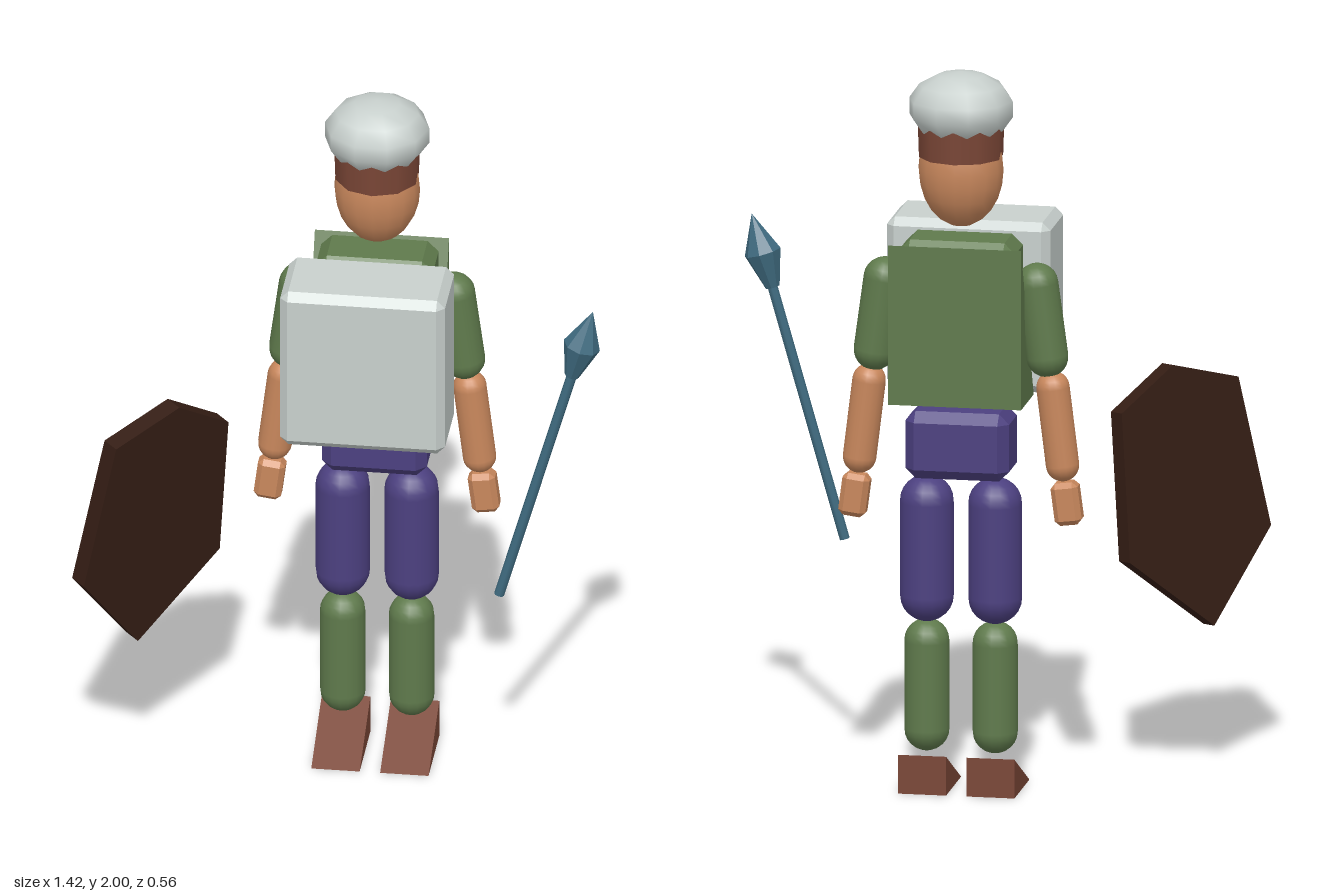
import * as THREE from 'three';
import { ConvexGeometry } from 'three/addons/geometries/ConvexGeometry.js';

const CX = 0.07, CZ = -0.15; // centre line of the figure

const mat = (color, extra = {}) => new THREE.MeshStandardMaterial({ color, ...extra });
const green = mat(0x5f7a4c), purple = mat(0x4c4080), skin = mat(0xc8875c), brown = mat(0x7a4636);
const pale = mat(0xc8d0cd), steel = mat(0x3f6b80), dark = mat(0x341d14);

function add(parent, name, geometry, material, x = 0, y = 0, z = 0) {
  const mesh = new THREE.Mesh(geometry, material);
  mesh.name = name;
  mesh.position.set(x, y, z);
  parent.add(mesh);
  return mesh;
}

// Box with every edge and corner cut at 45 degrees
function chamferBox(w, h, d, c) {
  const points = [];
  for (const sx of [-1, 1]) for (const sy of [-1, 1]) for (const sz of [-1, 1]) {
    for (let k = 0; k < 3; k++) {
      const cut = [c, c, c];
      cut[k] = 0;
      points.push(new THREE.Vector3(sx * (w / 2 - cut[0]), sy * (h / 2 - cut[1]), sz * (d / 2 - cut[2])));
    }
  }
  return new ConvexGeometry(points);
}

// Right-angled prism: upright back, sloping down to the front edge
function wedge(w, h, d) {
  const side = new THREE.Shape([new THREE.Vector2(0, 0), new THREE.Vector2(d, 0), new THREE.Vector2(0, h)]);
  const g = new THREE.ExtrudeGeometry(side, { depth: w, bevelEnabled: false });
  return g.translate(0, 0, -w / 2).rotateY(-Math.PI / 2);
}

// Capsule whose end spheres are centred on (x0, y0) and (x1, y1)
function limb(parent, name, x0, y0, x1, y1, r, material) {
  const length = Math.hypot(x1 - x0, y1 - y0);
  const mesh = add(parent, name, new THREE.CapsuleGeometry(r, length, 6, 16), material,
    (x0 + x1) / 2, (y0 + y1) / 2);
  mesh.rotation.z = Math.atan2(x0 - x1, y1 - y0);
}

export function createModel() {
  const model = new THREE.Group();
  model.name = 'figure';
  const body = new THREE.Group();
  body.name = 'body';
  body.position.set(CX, 0, CZ);
  model.add(body);

  // Head, band and cap
  add(body, 'head', new THREE.SphereGeometry(1, 16, 12).scale(0.117, 0.16, 0.106), skin, 0, 1.73);
  add(body, 'headBand', new THREE.CylinderGeometry(0.118, 0.115, 0.09, 10), brown, 0, 1.81);
  add(body, 'cap', new THREE.SphereGeometry(1, 10, 7).scale(0.146, 0.1, 0.143), pale, 0, 1.9);

  // Trunk
  add(body, 'torso', chamferBox(0.32, 0.44, 0.175, 0.03), green, 0, 1.32);
  add(body, 'backWedge', wedge(0.366, 0.443, 0.19), green, 0, 1.087, -0.098);
  add(body, 'chestPack', chamferBox(0.45, 0.473, 0.234, 0.022), pale, 0, 1.324, 0.21);
  add(body, 'pelvis', chamferBox(0.286, 0.187, 0.17, 0.028), purple, 0, 0.97);

  // Arms and legs
  for (const [side, s] of [['left', 1], ['right', -1]]) {
    limb(body, side + 'UpperArm', s * 0.237, 1.218, s * 0.21, 1.417, 0.058, green);
    limb(body, side + 'Forearm', s * 0.279, 0.918, s * 0.253, 1.13, 0.046, skin);
    const hand = add(body, side + 'Hand', chamferBox(0.075, 0.118, 0.062, 0.014), skin, s * 0.292, 0.812);
    hand.rotation.z = s * 0.13;

    const x = s * 0.094;
    limb(body, side + 'Thigh', x, 0.542, x, 0.8, 0.074, purple);
    limb(body, side + 'Shin', x, 0.17, x, 0.412, 0.062, green);
    add(body, side + 'Shoe', wedge(0.132, 0.108, 0.225), brown, x, 0, -0.072);
  }

  // Spear, leaning outward
  const spear = new THREE.Group();
  spear.name = 'spear';
  spear.position.set(0.434, 0.627, 0.09);
  spear.rotation.z = -0.279;
  model.add(spear);
  add(spear, 'spearShaft', new THREE.CylinderGeometry(0.014, 0.014, 0.76, 8), steel, 0, 0.38);
  const blade = [[0, 0.72], [0.02, 0.72], [0.051, 0.82], [0, 0.93]].map(p => new THREE.Vector2(...p));
  add(spear, 'spearHead', new THREE.LatheGeometry(blade, 8), mat(0x3f6b80, { flatShading: true }));

  // Six-sided shield slab, turned toward the front left
  const outline = [[-0.08, -0.418], [0.123, -0.667], [0.387, -0.46], [0.387, -0.05], [0.211, 0.06], [0, 0]];
  const slab = new THREE.ExtrudeGeometry(new THREE.Shape(outline.map(p => new THREE.Vector2(...p))),
    { depth: 0.052, bevelEnabled: false }).translate(0, 0, -0.052);
  const u = new THREE.Vector3(1, 0, -1).normalize();
  const n = new THREE.Vector3(0.704, -0.095, 0.704).normalize();
  const v = new THREE.Vector3().crossVectors(n, u);
  slab.applyMatrix4(new THREE.Matrix4().makeBasis(u, v, n).setPosition(-0.59, 1.09, 0.25));
  add(model, 'shield', slab, dark);

  return model;
}
